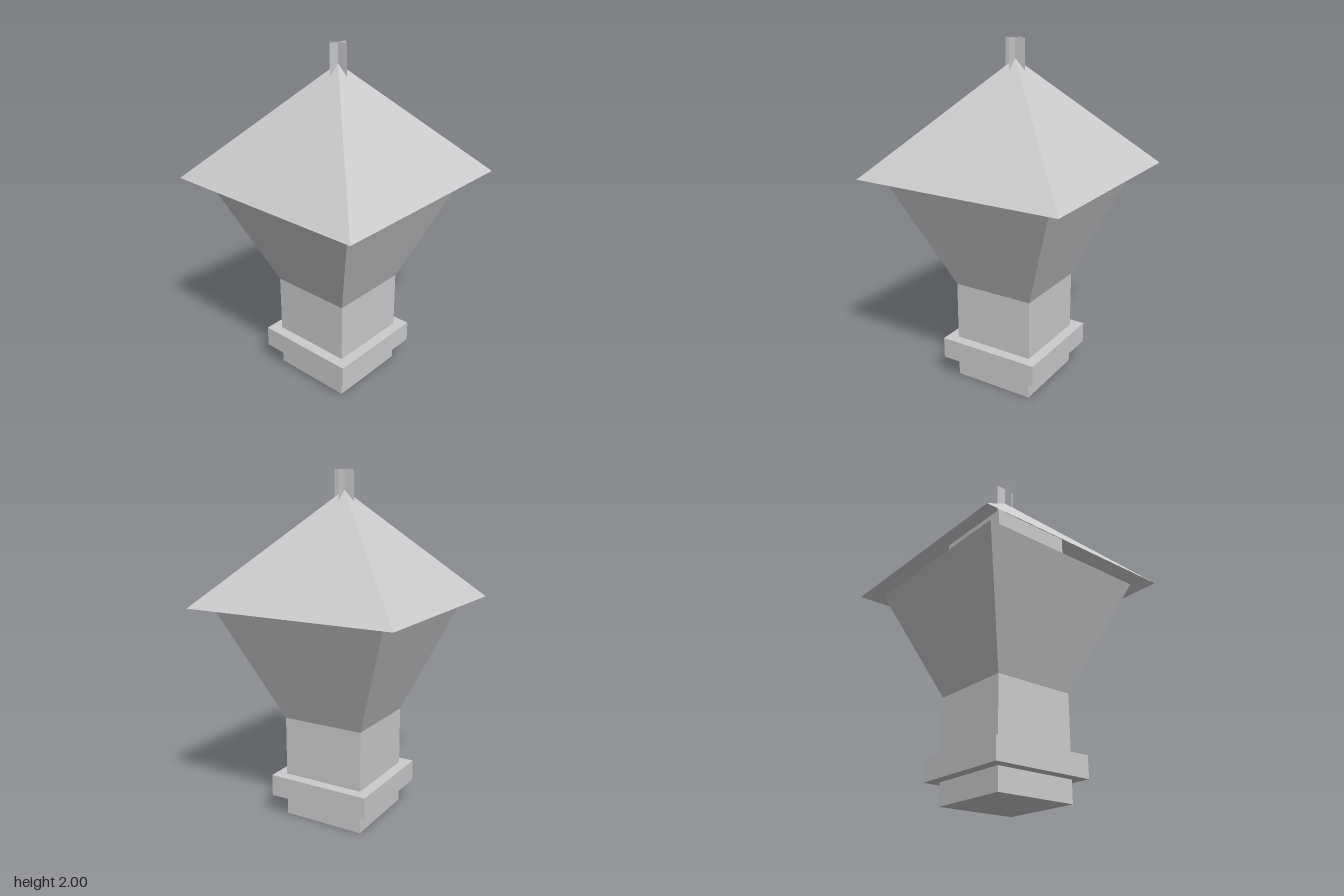
import * as THREE from 'three';

export function createModel() {
  const model = new THREE.Group();
  const solid = new THREE.MeshStandardMaterial({ color: 0xcccccc, flatShading: true });
  const thin = new THREE.MeshStandardMaterial({ color: 0xcccccc, flatShading: true, side: THREE.DoubleSide });

  const add = (name, geometry, material) => {
    const mesh = new THREE.Mesh(geometry, material);
    mesh.name = name;
    model.add(mesh);
    return mesh;
  };

  // Square box centred on the axis, from y0 to y1
  const block = (name, half, y0, y1) =>
    add(name, new THREE.BoxGeometry(half * 2, y1 - y0, half * 2), solid)
      .position.set(0, (y0 + y1) / 2, 0);

  // Open four-sided shell, given by its half widths at top and bottom
  const shell = (name, topHalf, bottomHalf, y0, y1) => {
    const g = new THREE.CylinderGeometry(
      topHalf * Math.SQRT2, bottomHalf * Math.SQRT2, y1 - y0, 4, 1, true);
    g.rotateY(Math.PI / 4);
    add(name, g, thin).position.y = (y0 + y1) / 2;
  };

  // Post runs up through the flared body into the roof
  block('post', 0.247, 0, 1.6);
  block('collar', 0.31, 0.127, 0.253);

  // Flared body and overhanging roof, with an open gap under the eaves
  shell('flaredBody', 0.522, 0.247, 0.6, 1.265);
  shell('roof', 0, 0.622, 1.265, 1.89);

  // Finial of two crossed thin plates
  const finial = new THREE.Group();
  finial.name = 'finial';
  for (const angle of [0, Math.PI / 2]) {
    const plate = new THREE.Mesh(new THREE.PlaneGeometry(0.124, 0.25), thin);
    plate.name = 'finialPlate';
    plate.rotation.y = angle;
    finial.add(plate);
  }
  finial.position.y = 1.875;
  model.add(finial);

  return model;
}
